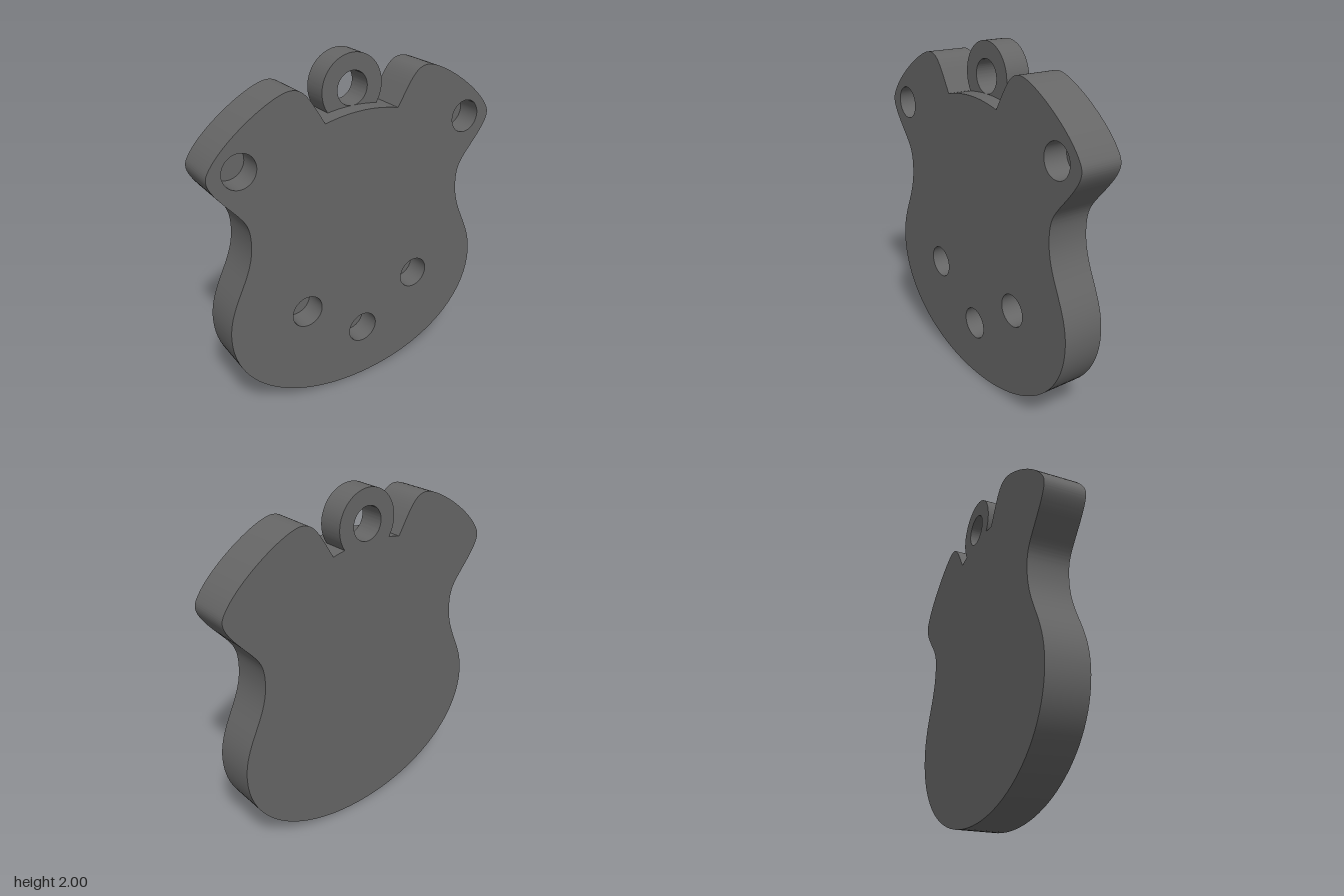
import * as THREE from 'three';
import { toCreasedNormals } from 'three/addons/utils/BufferGeometryUtils.js';

const FRONT = 0.12, BACK = -0.12, POCKET_DEPTH = 0.14, POCKET_R = 0.095;
const POCKETS = [[-0.722, 1.547], [0.72, 1.547], [-0.368, 0.602], [0.387, 0.602], [0.012, 0.342]];

// Right half of the outline, bottom centre to notch corner: [control, control, end]
const START = [0, 0];
const HALF = [
  [[0.46, 0], [0.84, 0.24], [0.84, 0.6]],
  [[0.84, 0.82], [0.685, 0.93], [0.685, 1.14]],
  [[0.685, 1.24], [0.71, 1.27], [0.76, 1.33]],
  [[0.83, 1.41], [0.892, 1.48], [0.896, 1.53]],
  [[0.898, 1.555], [0.89, 1.571], [0.87, 1.6]],
  [[0.78, 1.73], [0.52, 1.895], [0.425, 1.895]],
  [[0.345, 1.895], [0.315, 1.83], [0.23, 1.69]],
];

function bodyShape() {
  const shape = new THREE.Shape().moveTo(...START);
  for (const [a, b, end] of HALF) shape.bezierCurveTo(...a, ...b, ...end);
  shape.quadraticCurveTo(0, 1.747, -0.23, 1.69);
  // the same curves mirrored and run backwards
  for (let i = HALF.length - 1; i >= 0; i--) {
    const [a, b] = HALF[i];
    const end = i > 0 ? HALF[i - 1][2] : START;
    shape.bezierCurveTo(-b[0], b[1], -a[0], a[1], -end[0], end[1]);
  }
  return shape;
}

// Only the side walls of an extrusion, smooth along the curves
function wallGeometry(shape, depth) {
  const full = new THREE.ExtrudeGeometry(shape, { depth, bevelEnabled: false, curveSegments: 24 });
  const { start, count } = full.groups[1];
  const walls = new THREE.BufferGeometry();
  const positions = full.attributes.position.array.slice(start * 3, (start + count) * 3);
  walls.setAttribute('position', new THREE.BufferAttribute(positions, 3));
  return toCreasedNormals(walls, 0.5);
}

export function createModel() {
  const group = new THREE.Group();
  const grey = new THREE.MeshStandardMaterial({ color: 0x666666 });
  const inside = new THREE.MeshStandardMaterial({ color: 0x666666, side: THREE.BackSide });
  const add = (name, geometry, x = 0, y = 0, z = 0, material = grey) => {
    const mesh = new THREE.Mesh(geometry, material);
    mesh.name = name;
    mesh.position.set(x, y, z);
    group.add(mesh);
    return mesh;
  };

  // Plate: rim, plain back and pierced front
  add('plateRim', wallGeometry(bodyShape(), FRONT - BACK), 0, 0, BACK);
  add('plateBack', new THREE.ShapeGeometry(bodyShape(), 24), 0, 0, BACK).rotation.y = Math.PI;
  const face = bodyShape();
  for (const [x, y] of POCKETS) {
    face.holes.push(new THREE.Path().absarc(x, y, POCKET_R, 0, Math.PI * 2, true));
  }
  add('plateFront', new THREE.ShapeGeometry(face, 24), 0, 0, FRONT);

  // Blind round pockets
  const pocketWall = new THREE.CylinderGeometry(POCKET_R, POCKET_R, POCKET_DEPTH, 48, 1, true)
    .rotateX(Math.PI / 2);
  const pocketFloor = new THREE.CircleGeometry(POCKET_R, 48);
  for (const [x, y] of POCKETS) {
    add('pocketWall', pocketWall, x, y, FRONT - POCKET_DEPTH / 2, inside);
    add('pocketFloor', pocketFloor, x, y, FRONT - POCKET_DEPTH);
  }

  // Hanging loop, cut off where it sinks into the plate
  const cut = 0.62;
  const loop = new THREE.Shape().absarc(0, 1.812, 0.188, -cut, Math.PI + cut, false);
  loop.closePath();
  loop.holes.push(new THREE.Path().absarc(0, 1.812, 0.094, 0, Math.PI * 2, true));
  const loopGeometry = new THREE.ExtrudeGeometry(loop, { depth: 0.144, bevelEnabled: false, curveSegments: 48 });
  add('hangingLoop', toCreasedNormals(loopGeometry, 0.5), 0, 0, BACK);

  return group;
}
